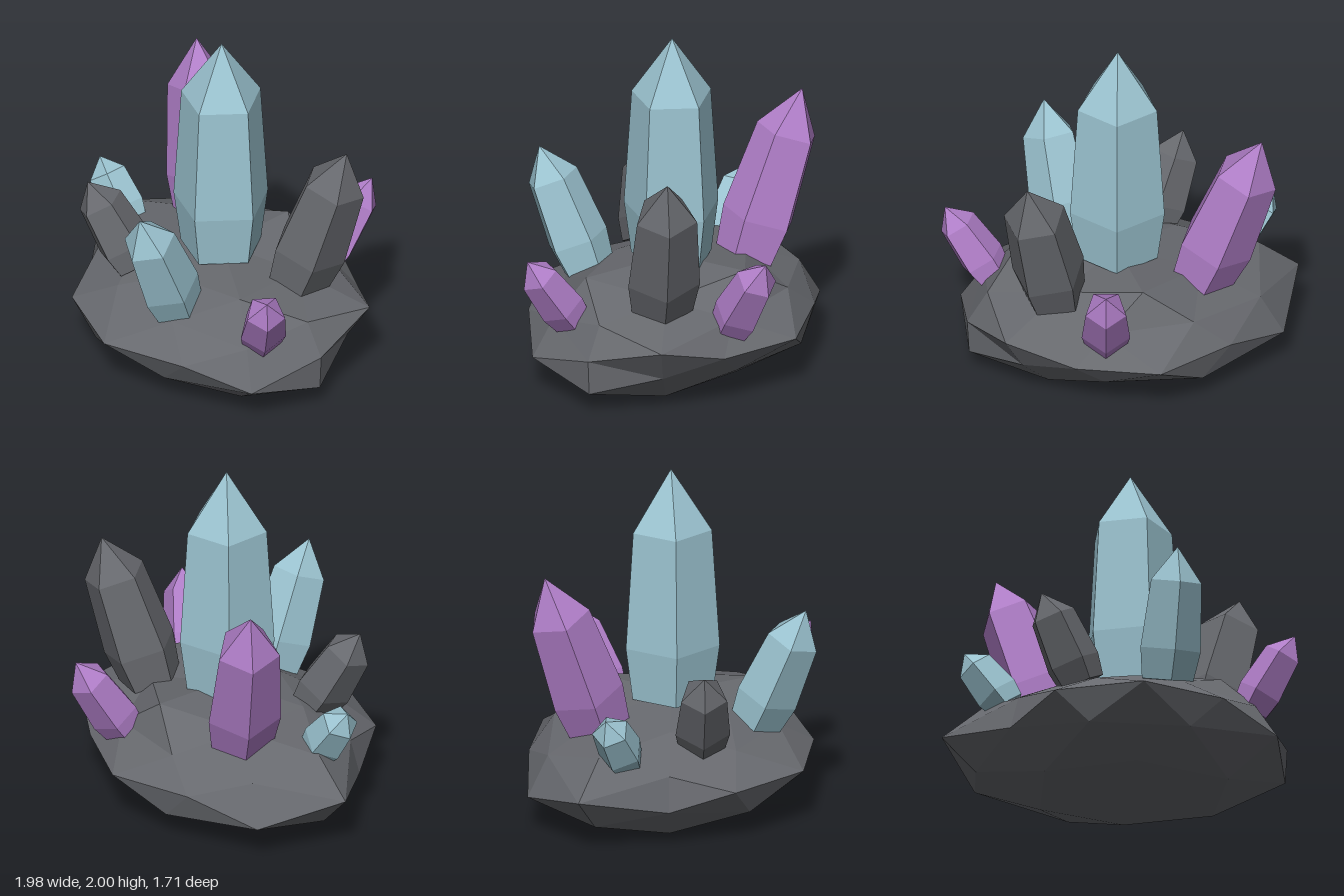
import * as THREE from 'three';

const flat = (geometry) => {
  const g = geometry.index ? geometry.toNonIndexed() : geometry;
  g.computeVertexNormals();
  return g;
};

export function createModel() {
  const group = new THREE.Group();
  group.name = 'crystalCluster';

  const material = (name, color) => {
    const m = new THREE.MeshStandardMaterial({ color });
    m.name = name;
    return m;
  };
  const stone = material('dark stone', 0x67696e);
  const blue = material('pale blue crystal', 0x9bc3d0);
  const purple = material('purple crystal', 0xb07ec8);

  // Rock base: a squashed icosphere, each vertex pushed in or out.
  // Keys are the signs of x, y, z; octants list the vertex nearest x, y and z.
  const push = {
    '+00': 0.905, '-00': 1.09, '0+0': 0.86, '0-0': 0.9, '00+': 0.995, '00-': 0.96,
    '++0': 0.92, '+-0': 1.05, '-+0': 1.0, '--0': 1.05,
    '+0+': 0.905, '+0-': 0.86, '-0+': 0.945, '-0-': 0.9,
    '0++': 0.82, '0+-': 1.07, '0-+': 0.89, '0--': 0.95,
    '+++': [0.85, 1.0, 0.8], '++-': [1.0, 0.83, 0.8],
    '+-+': [1.0, 1.075, 0.93], '+--': [0.85, 1.0, 0.84],
    '-++': [0.84, 0.84, 0.8], '-+-': [0.91, 0.86, 0.87],
    '--+': [0.9, 1.04, 0.97], '---': [1.06, 1.0, 0.97],
  };
  const sign = (v) => (Math.abs(v) < 0.01 ? '0' : v > 0 ? '+' : '-');
  const ball = new THREE.IcosahedronGeometry(1, 1).rotateZ(Math.PI / 2);
  const p = ball.attributes.position;
  for (let i = 0; i < p.count; i++) {
    const v = [p.getX(i), p.getY(i), p.getZ(i)];
    const size = v.map(Math.abs);
    const entry = push[v.map(sign).join('')];
    const f = Array.isArray(entry) ? entry[size.indexOf(Math.max(...size))] : entry;
    p.setXYZ(i, 0.08 + v[0] * 0.98 * f, 0.335 + v[1] * 0.372 * f, v[2] * 0.86 * f);
  }
  const rock = new THREE.Mesh(flat(ball), stone);
  rock.name = 'rockBase';
  group.add(rock);

  // Five-sided crystal from base centre to tip, with one edge facing its lean
  function crystal(name, mat, base, tip, radius) {
    const a = new THREE.Vector3(...base);
    const d = new THREE.Vector3(...tip).sub(a);
    const length = d.length();
    const profile = [[0, 0], [0.85, 0], [1, 0.23], [0.84, 0.74], [0, 1]]
      .map(([r, h]) => new THREE.Vector2(r * radius, h * length));
    const mesh = new THREE.Mesh(flat(new THREE.LatheGeometry(profile, 5)), mat);
    mesh.name = name;
    mesh.position.copy(a);
    mesh.rotation.order = 'YXZ';
    mesh.rotation.y = Math.atan2(d.x, d.z) || Math.PI / 2;
    mesh.rotation.x = Math.acos(d.y / length);
    group.add(mesh);
  }

  crystal('centreCrystal', blue, [0.08, 0.645, 0], [0.08, 2, 0], 0.28);
  crystal('frontBlueCrystal', blue, [0.238, 0.525, 0.462], [0.28, 1.22, 0.76], 0.183);
  crystal('sideBlueCrystal', blue, [-0.625, 0.495, 0.1], [-0.87, 0.81, 0.11], 0.131);
  crystal('backPurpleCrystalLarge', purple, [-0.34, 0.545, -0.235], [-0.645, 1.505, -0.41], 0.217);
  crystal('backPurpleCrystalSmall', purple, [0.315, 0.435, -0.54], [0.405, 0.92, -0.83], 0.144);
  crystal('frontPurpleCrystal', purple, [0.74, 0.455, 0.25], [0.975, 0.86, 0.4], 0.135);
  crystal('backStoneCrystal', stone, [0.51, 0.56, -0.2], [0.73, 1.43, -0.38], 0.214);
  crystal('frontStoneCrystal', stone, [-0.235, 0.525, 0.375], [-0.47, 1.01, 0.525], 0.162);

  return group;
}
